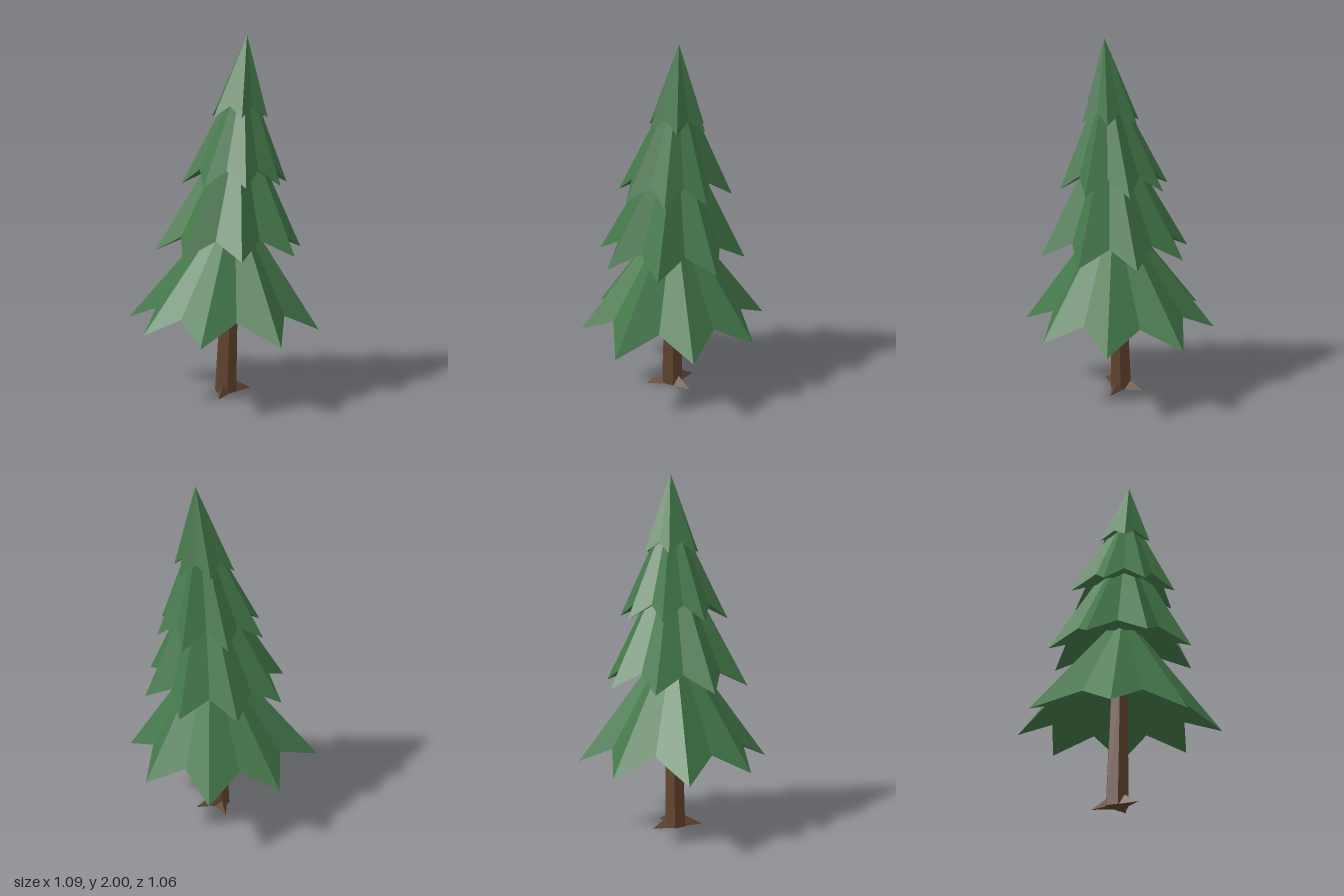
import * as THREE from 'three';
import { ConvexGeometry } from 'three/addons/geometries/ConvexGeometry.js';

const V = (x, y, z) => new THREE.Vector3(x, y, z);

// Pleated skirt of needles: long low tips alternating with short high valleys
function foliageTier({ centre, apex, count, start, tipR, tipY, valleyR, valleyY, innerY, vary = [1] }) {
  const [cx, cz] = centre;
  const rim = [];
  for (let i = 0; i < count * 2; i++) {
    const a = THREE.MathUtils.degToRad(start + (i * 180) / count);
    const tip = i % 2 === 0;
    const r = tip ? tipR * vary[(i / 2) % vary.length] : valleyR;
    rim.push(V(cx + r * Math.cos(a), tip ? tipY : valleyY, cz + r * Math.sin(a)));
  }
  const top = V(...apex), inner = V(cx, innerY, cz);
  const points = [];
  rim.forEach((p, i) => {
    const q = rim[(i + 1) % rim.length];
    points.push(top, q, p, inner, p, q); // outer face, then underside
  });
  const g = new THREE.BufferGeometry().setFromPoints(points);
  g.computeVertexNormals();
  return g;
}

export function createModel() {
  const needles = new THREE.MeshStandardMaterial({ color: 0x44784a });
  needles.name = 'needleGreen';
  const bark = new THREE.MeshStandardMaterial({ color: 0x634530 });
  bark.name = 'barkBrown';
  const tree = new THREE.Group();
  tree.name = 'pineTree';
  const add = (geometry, material, name) => {
    const mesh = new THREE.Mesh(geometry, material);
    mesh.name = name;
    tree.add(mesh);
  };

  // Foliage, bottom to top, drifting to +x with the lean of the tree
  const tiers = [
    { centre: [0.025, 0.01], apex: [0.075, 1.12, 0.02], count: 8, start: 10, tipR: 0.53, tipY: 0.395,
      valleyR: 0.395, valleyY: 0.5, innerY: 0.62, vary: [1, 1.055, 0.995, 0.975, 1.095, 1, 1.03, 1] },
    { centre: [0.045, 0.02], apex: [0.105, 1.6, 0.02], count: 8, start: 32, tipR: 0.414, tipY: 0.83,
      valleyR: 0.305, valleyY: 0.92, innerY: 1.0, vary: [1.04, 1.015, 1, 1, 1, 0.99, 0.985, 0.985] },
    { centre: [0.075, 0.03], apex: [0.125, 1.84, 0.02], count: 8, start: 30, tipR: 0.305, tipY: 1.2,
      valleyR: 0.225, valleyY: 1.285, innerY: 1.34, vary: [0.97, 1, 0.97, 0.97, 1.06, 1.02, 1.06, 0.97] },
    { centre: [0.1, 0.015], apex: [0.14, 2, 0.02], count: 6, start: 22, tipR: 0.168, tipY: 1.56,
      valleyR: 0.12, valleyY: 1.62, innerY: 1.66 },
  ];
  tiers.forEach((t, i) => add(foliageTier(t), needles, `foliageTier${i + 1}`));

  // Trunk: tapered hexagonal prism, sheared along the lean
  const height = 0.66;
  const trunk = new THREE.CylinderGeometry(0.05, 0.066, height, 6).toNonIndexed();
  trunk.rotateY(0.2).translate(0.025, height / 2, 0.012);
  const pos = trunk.attributes.position;
  for (let i = 0; i < pos.count; i++) pos.setX(i, pos.getX(i) + 0.035 * pos.getY(i));
  trunk.computeVertexNormals();
  add(trunk, bark, 'trunk');

  // Roots: low wedges running from the trunk to a point on the ground
  const rootTips = [[0.167, -0.04], [0, 0.167], [-0.005, -0.132]];
  rootTips.forEach(([x, z], i) => {
    const dir = V(x - 0.025, 0, z - 0.012).normalize();
    const side = V(-dir.z, 0, dir.x).multiplyScalar(0.04);
    const base = V(0.025, 0, 0.012).addScaledVector(dir, 0.035);
    const crest = base.clone().setY(0.065);
    add(new ConvexGeometry([V(x, 0, z), base.clone().add(side), base.clone().sub(side), crest]), bark, `root${i + 1}`);
  });

  return tree;
}
